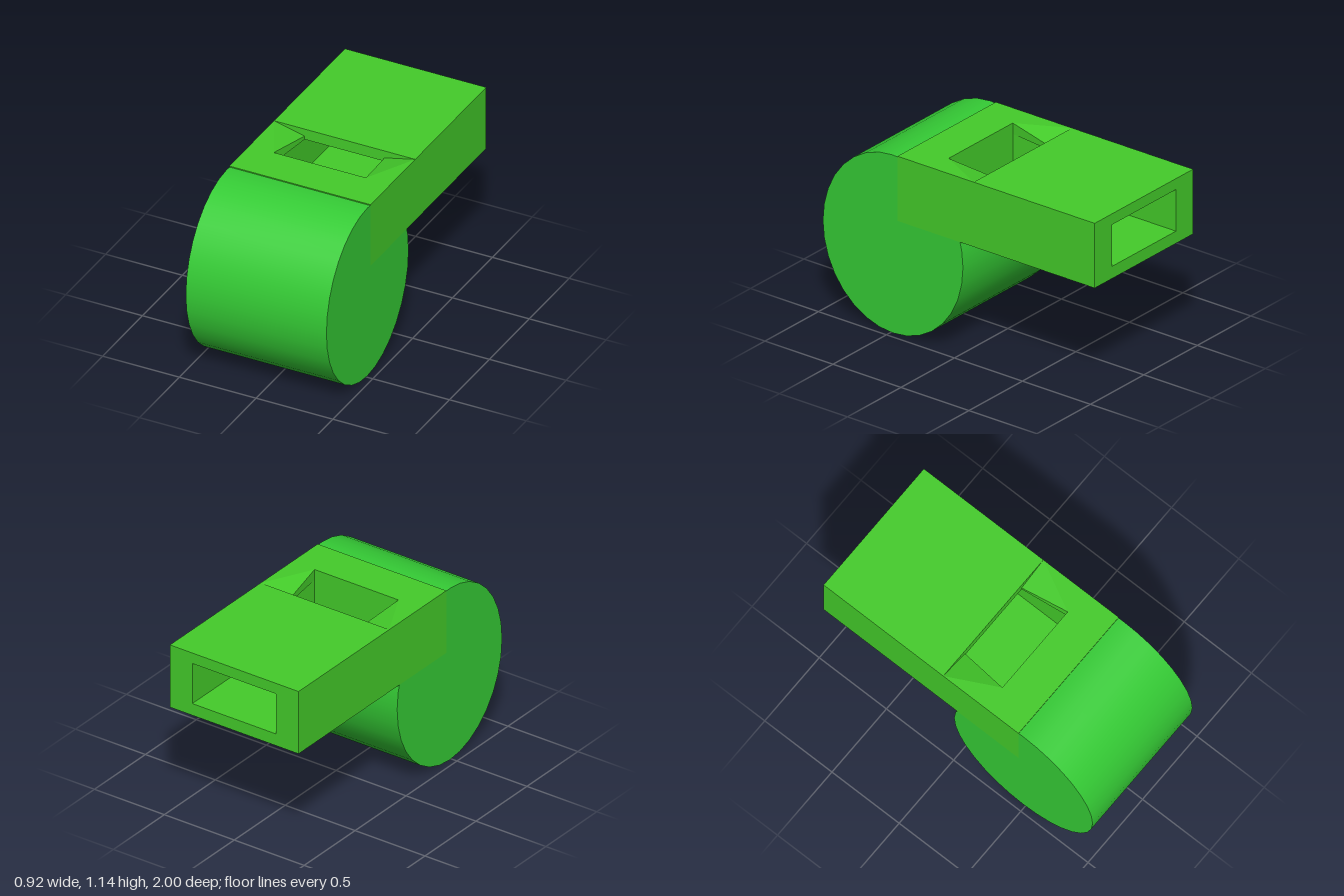
import * as THREE from 'three';
import { toCreasedNormals } from 'three/addons/utils/BufferGeometryUtils.js';

const W = 0.46, TOP = 1.145, BOTTOM = 0.73;          // mouthpiece block
const DUCT = 0.3, FLOOR = 0.808, ROOF = 1.075;       // air duct inside it
const BACK = -1, STEP = -0.11, SLOT = 0.2, FRONT = 0.45; // stations along z

// Rounded chamber: elliptical drum, notched where the mouthpiece block sits
function chamberGeometry() {
  const shape = new THREE.Shape();
  for (let i = 9; i >= -18; i--) {
    const a = (i * Math.PI) / 16;
    const z = 0.485 + 0.515 * Math.cos(a), y = 0.571 + 0.571 * Math.sin(a);
    if (i === 9) shape.moveTo(z, y); else shape.lineTo(z, y);
  }
  shape.lineTo(0.385, 0.77);
  shape.closePath();
  const width = 2 * W - 0.004;
  const geo = new THREE.ExtrudeGeometry(shape, { depth: width, bevelEnabled: false });
  geo.rotateY(-Math.PI / 2).translate(width / 2, 0, 0);
  return toCreasedNormals(geo, 0.5);
}

// Rear mouthpiece: rectangular tube
function tubeGeometry() {
  const rect = (path, x, y0, y1) =>
    path.moveTo(-x, y0).lineTo(x, y0).lineTo(x, y1).lineTo(-x, y1).closePath();
  const shape = new THREE.Shape();
  rect(shape, W, BOTTOM, TOP);
  const hole = new THREE.Path();
  rect(hole, DUCT, FLOOR, ROOF);
  shape.holes.push(hole);
  return new THREE.ExtrudeGeometry(shape, { depth: STEP - BACK, bevelEnabled: false }).translate(0, 0, BACK);
}

// Front of the block: sloping sound slot opening into the closed end of the duct
function slotGeometry() {
  const pos = [];
  const face = (...p) => {
    for (let i = 1; i < p.length - 1; i++) pos.push(...p[0], ...p[i], ...p[i + 1]);
  };
  for (const s of [1, -1]) {
    const side = (...p) => {
      const q = p.map(([x, y, z]) => [s * x, y, z]);
      face(...(s > 0 ? q : q.reverse()));
    };
    const edge = [W, TOP, STEP], lip = [0.26, 1.098, STEP], tip = [DUCT, TOP, SLOT];
    const lipLow = [0.26, ROOF, STEP], tipLow = [DUCT, ROOF, SLOT];
    side([W, BOTTOM, FRONT], [W, BOTTOM, STEP], edge, [W, TOP, FRONT]); // outer side
    side(edge, lip, tip);                                               // sunken facet
    side(edge, tip, [W, TOP, FRONT]);                                   // flat top beside slot
    side(lipLow, tipLow, tip, lip);                                     // slot edge
    side(lipLow, [DUCT, ROOF, STEP], tipLow);                           // underside of slot edge
    side([DUCT, FLOOR, STEP], [DUCT, FLOOR, SLOT], tipLow, [DUCT, ROOF, STEP]); // duct wall
  }
  // flat top in front of the slot, front, bottom, duct floor, duct end
  face([DUCT, TOP, SLOT], [-DUCT, TOP, SLOT], [-W, TOP, FRONT], [W, TOP, FRONT]);
  face([-W, BOTTOM, FRONT], [W, BOTTOM, FRONT], [W, TOP, FRONT], [-W, TOP, FRONT]);
  face([-W, BOTTOM, STEP], [W, BOTTOM, STEP], [W, BOTTOM, FRONT], [-W, BOTTOM, FRONT]);
  face([DUCT, FLOOR, STEP], [-DUCT, FLOOR, STEP], [-DUCT, FLOOR, SLOT], [DUCT, FLOOR, SLOT]);
  face([DUCT, FLOOR, SLOT], [-DUCT, FLOOR, SLOT], [-DUCT, TOP, SLOT], [DUCT, TOP, SLOT]);
  const geo = new THREE.BufferGeometry();
  geo.setAttribute('position', new THREE.Float32BufferAttribute(pos, 3));
  geo.computeVertexNormals();
  return geo;
}

export function createModel() {
  const group = new THREE.Group();
  group.name = 'whistle';
  const drumMat = new THREE.MeshStandardMaterial({ color: 0x35cc35 });
  const blockMat = new THREE.MeshStandardMaterial({ color: 0x44cc2a });
  const add = (name, geo, mat) => {
    const mesh = new THREE.Mesh(geo, mat);
    mesh.name = name;
    group.add(mesh);
  };
  add('chamber', chamberGeometry(), drumMat);
  add('mouthpiece', tubeGeometry(), blockMat);
  add('soundSlot', slotGeometry(), blockMat);
  return group;
}
